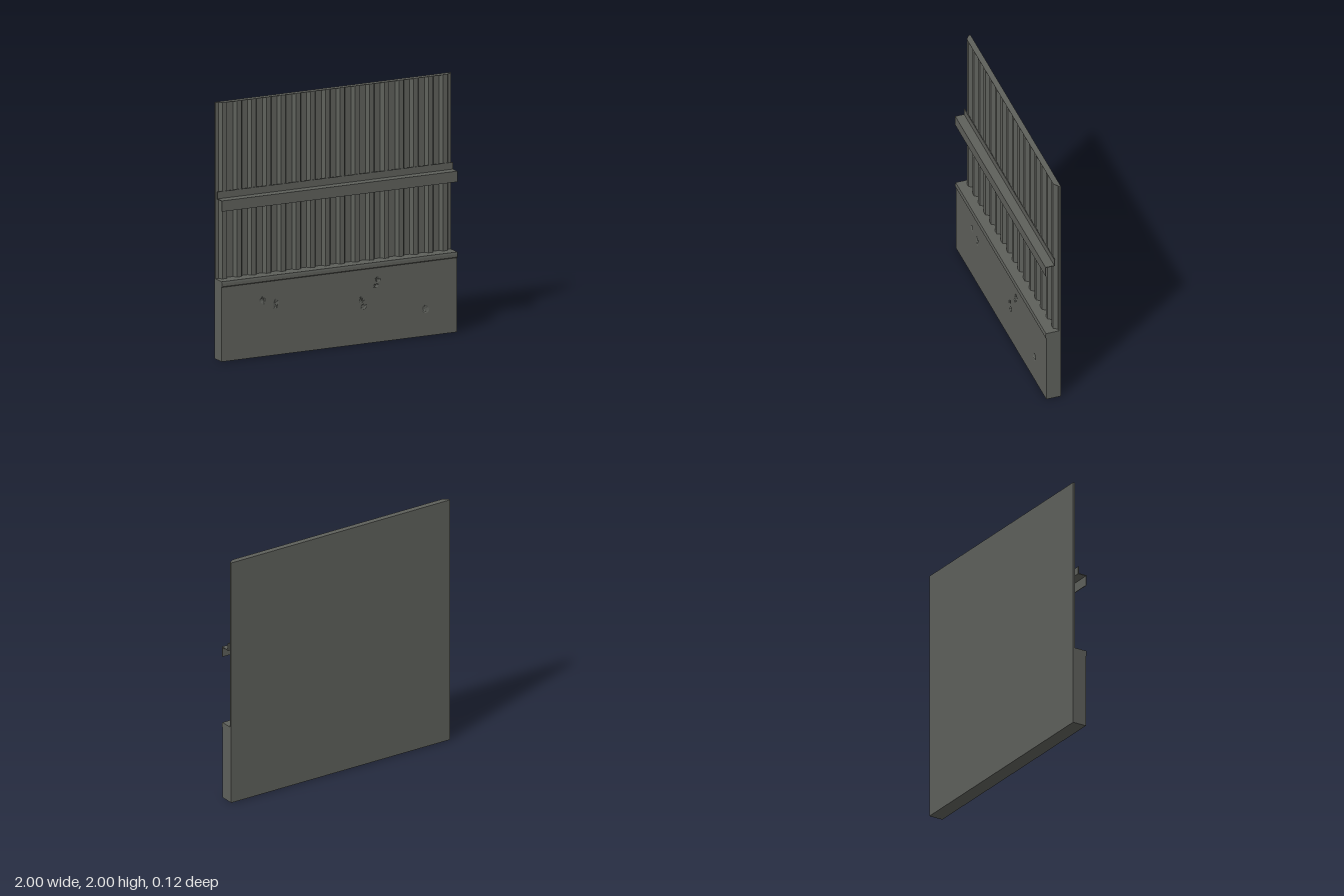
import * as THREE from 'three';

const concrete = new THREE.MeshStandardMaterial({ color: 0x5e605b });
const BACK = -0.061;

function add(group, name, geometry) {
  const mesh = new THREE.Mesh(geometry, concrete);
  mesh.name = name;
  group.add(mesh);
  return mesh;
}

// Sweep a (z, y) cross-section along the full width of the wall.
function sweepAlongX(points) {
  const shape = new THREE.Shape(points.map(([z, y]) => new THREE.Vector2(-z, y)));
  return new THREE.ExtrudeGeometry(shape, { depth: 2, bevelEnabled: false })
    .translate(0, 0, -1).rotateY(Math.PI / 2);
}

// Flat shape in (x, z), extruded upwards from y0 by the given height.
function standUp(points, y0, height) {
  const shape = new THREE.Shape(points.map(([x, z]) => new THREE.Vector2(x, -z)));
  return new THREE.ExtrudeGeometry(shape, { depth: height, bevelEnabled: false })
    .rotateX(-Math.PI / 2).translate(0, y0, 0);
}

function seeded(seed) {
  return () => {
    seed = (seed * 16807) % 2147483647;
    return seed / 2147483647;
  };
}

// Jagged outline of a chip knocked out of the concrete.
function chipOutline([x, y, rx, ry], random) {
  const sides = 11, points = [];
  for (let i = 0; i < sides; i++) {
    const a = (i / sides) * Math.PI * 2, r = 0.65 + 0.35 * random();
    points.push(new THREE.Vector2(x + Math.cos(a) * rx * r, y + Math.sin(a) * ry * r));
  }
  return points;
}

// Shallow faceted bowl filling a chip outline.
function chipBowl(outline, [x, y], z, random) {
  const inner = outline.map(p => [x + (p.x - x) * 0.6, y + (p.y - y) * 0.6, z - 0.002 - 0.006 * random()]);
  const v = [];
  outline.forEach((p, i) => {
    const j = (i + 1) % outline.length, q = outline[j];
    const a = [p.x, p.y, z], b = [q.x, q.y, z], c = inner[i], d = inner[j];
    v.push(...a, ...b, ...d, ...a, ...d, ...c, ...c, ...d, x, y, z - 0.008);
  });
  const geometry = new THREE.BufferGeometry();
  geometry.setAttribute('position', new THREE.Float32BufferAttribute(v, 3));
  geometry.computeVertexNormals();
  return geometry;
}

export function createModel() {
  const wall = new THREE.Group();
  wall.name = 'wall';
  const random = seeded(77);

  // Concrete base: core plus a front skin pierced by the chips
  const front = 0.055, skin = 0.012, baseTop = 0.58;
  const coreDepth = front - skin - BACK;
  add(wall, 'baseCore', new THREE.BoxGeometry(2, baseTop, coreDepth)
    .translate(0, baseTop / 2, BACK + coreDepth / 2));
  const face = new THREE.Shape([[-1, 0], [1, 0], [1, baseTop], [-1, baseTop]]
    .map(([x, y]) => new THREE.Vector2(x, y)));
  const chips = [
    [-0.65, 0.44, 0.03, 0.038], [-0.54, 0.40, 0.03, 0.05],
    [0.19, 0.345, 0.025, 0.03], [0.205, 0.29, 0.032, 0.023],
    [0.325, 0.49, 0.027, 0.028], [0.31, 0.44, 0.03, 0.021],
    [0.73, 0.21, 0.04, 0.037],
  ];
  for (const chip of chips) {
    const outline = chipOutline(chip, random);
    face.holes.push(new THREE.Path(outline));
    add(wall, 'chip', chipBowl(outline, chip, front, random));
  }
  add(wall, 'baseFace', new THREE.ExtrudeGeometry(face, { depth: skin, bevelEnabled: false })
    .translate(0, 0, front - skin));

  // Ledge on top of the base, with softened front edges
  add(wall, 'ledge', sweepAlongX([
    [BACK, 0.58], [0.056, 0.58], [0.061, 0.586], [0.061, 0.61], [0.058, 0.625], [BACK, 0.625],
  ]));

  // Corrugated panel: sixteen ribs, valley at both ends
  const ribs = 16, pitch = 0.125, valley = -0.046, ridge = -0.016;
  const profile = [[-1, valley]];
  for (let i = 0; i < ribs; i++) {
    const x = -1 + i * pitch;
    profile.push([x + 0.024, valley], [x + 0.043, ridge], [x + 0.081, ridge], [x + 0.1, valley]);
  }
  profile.push([1, valley], [1, BACK], [-1, BACK]);
  add(wall, 'corrugatedPanel', standUp(profile, 0.62, 1.379));

  // Thin lid closing the panel from rib to rib
  add(wall, 'panelLid', standUp([
    [-1, valley], [-0.957, ridge], [0.956, ridge], [1, valley], [1, BACK], [-1, BACK],
  ], 1.998, 0.002));

  // Z-section rail across the ribs
  add(wall, 'rail', sweepAlongX([
    [-0.016, 1.25], [0.056, 1.25], [0.056, 1.172], [0.061, 1.172],
    [0.061, 1.256], [-0.01, 1.256], [-0.01, 1.31], [-0.016, 1.31],
  ]));

  return wall;
}
